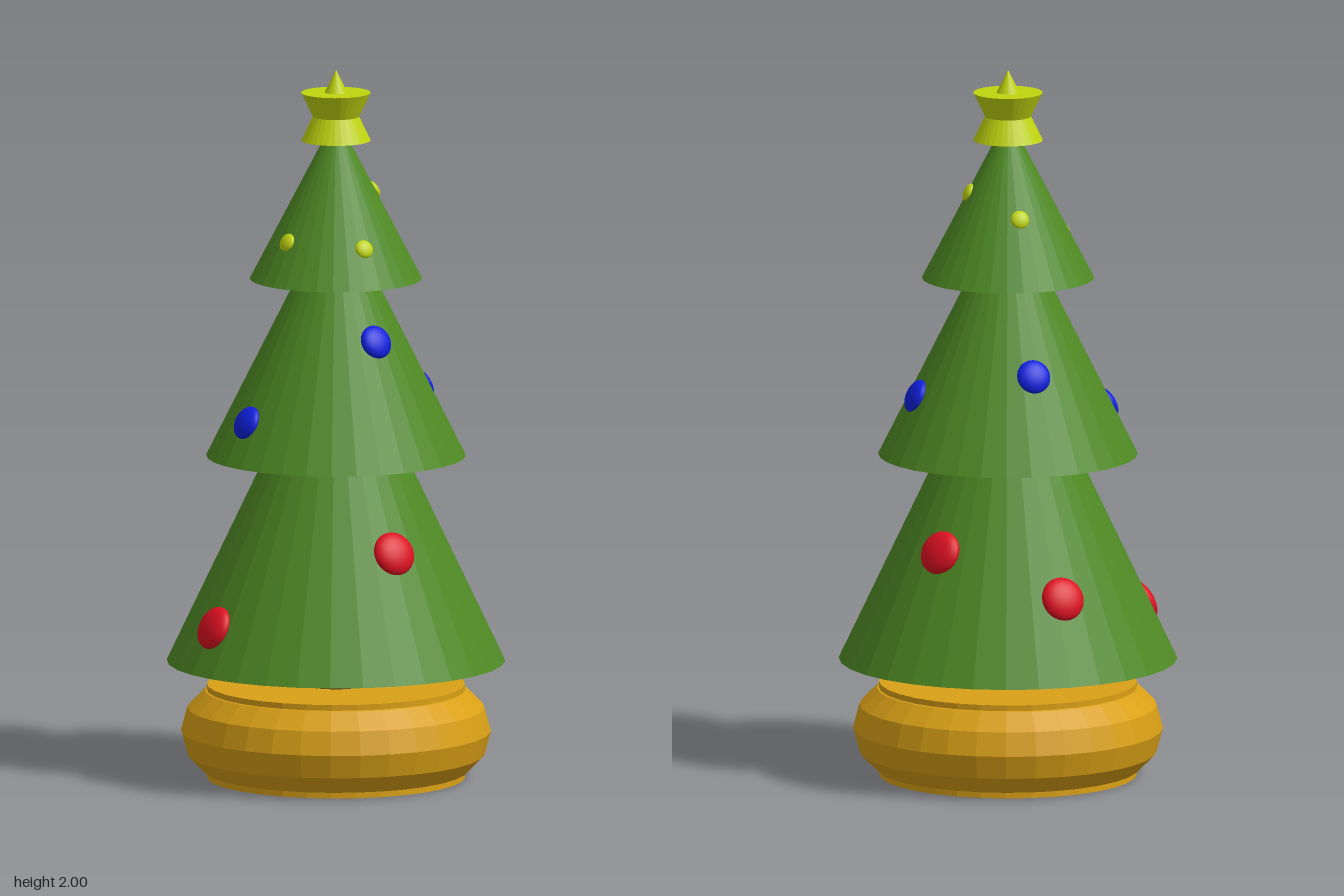
import * as THREE from 'three';

const mat = (color, flatShading = true) => new THREE.MeshStandardMaterial({ color, flatShading });

export function createModel() {
  const tree = new THREE.Group();
  tree.name = 'decoratedTree';
  const green = mat(0x4f8a24), gold = mat(0xd9a016), yellow = mat(0xc0d40f), brown = mat(0x5f3010);

  const add = (name, geometry, material, y) => {
    const mesh = new THREE.Mesh(geometry, material);
    mesh.name = name;
    mesh.position.y = y;
    tree.add(mesh);
    return mesh;
  };

  // Round pot: a ring filled by a disc
  add('potRim', new THREE.TorusGeometry(0.3, 0.132, 12, 32).rotateX(Math.PI / 2), gold, 0.132);
  add('potFill', new THREE.CylinderGeometry(0.36, 0.36, 0.264, 32), gold, 0.132);
  add('trunk', new THREE.CylinderGeometry(0.097, 0.097, 0.3, 32), brown, 0.3);

  // Foliage tiers, each with its ring of ornaments: [x, y, z] direction and height
  const tiers = [
    { name: 'lower', y: 0.33, r: 0.472, h: 0.99, size: 0.062, color: 0xdd1022,
      spots: [[0, 0.675, 1], [-0.41, 0.46, 0.017], [0.265, 0.675, -0.155], [-0.02, 0.56, -0.36]] },
    { name: 'middle', y: 0.91, r: 0.362, h: 0.72, size: 0.048, color: 0x1020dd,
      spots: [[0.015, 1.255, 0.188], [-0.3, 1.03, 0.015], [0.275, 1.09, 0.015], [0.015, 1.17, -0.23]] },
    { name: 'upper', y: 1.41, r: 0.24, h: 0.46, size: 0.026, color: 0xc0d40f,
      spots: [[-0.02, 1.52, 0.183], [-0.177, 1.53, 0.025], [0.112, 1.655, 0.025], [0.02, 1.6, -0.14]] },
  ];
  for (const t of tiers) {
    add(t.name + 'Foliage', new THREE.ConeGeometry(t.r, t.h, 32), green, t.y + t.h / 2);

    // Flattened baubles lying on the slope
    const bauble = new THREE.SphereGeometry(t.size, 24, 16).scale(1, 1, 0.47);
    const paint = mat(t.color, false);
    for (const [x, y, z] of t.spots) {
      const angle = Math.atan2(x, z);
      const radius = t.r * (1 - (y - t.y) / t.h);
      const mesh = add(t.name + 'Ornament', bauble, paint, y);
      mesh.position.set(Math.sin(angle) * radius, y, Math.cos(angle) * radius);
      mesh.rotation.set(-Math.atan2(t.r, t.h), angle, 0, 'YXZ');
    }
  }

  // Topper: two crossing cones, one upright and one inverted
  add('topperUpright', new THREE.ConeGeometry(0.097, 0.2, 32), yellow, 1.9);
  add('topperInverted', new THREE.ConeGeometry(0.097, 0.2, 32).rotateX(Math.PI), yellow, 1.835);

  return tree;
}
